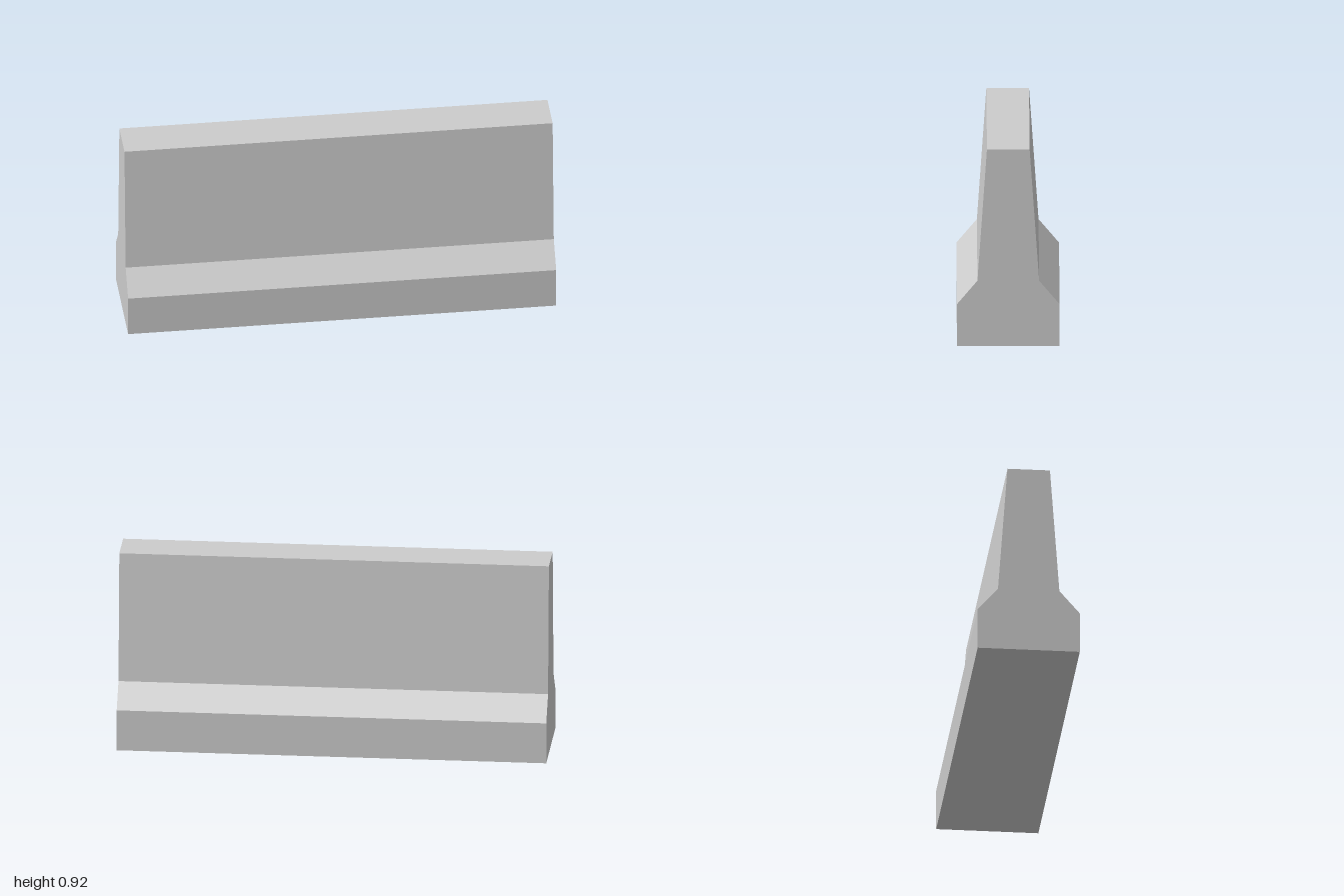
import * as THREE from 'three';

export function createModel() {
  const group = new THREE.Group();
  group.name = 'roadBarrier';

  const concrete = new THREE.MeshStandardMaterial({ color: 0xcccccc, flatShading: true });
  concrete.name = 'concrete grey';

  // Half profile (half depth, height), mirrored into a symmetric cross-section
  const half = [[0.238, 0], [0.238, 0.197], [0.143, 0.307], [0.099, 0.922]];
  const mirrored = half.map(([d, y]) => [-d, y]).reverse();
  const profile = new THREE.Shape([...half, ...mirrored].map(([d, y]) => new THREE.Vector2(d, y)));

  // Extrude along the barrier's length, centred on x
  const length = 2;
  const geometry = new THREE.ExtrudeGeometry(profile, { depth: length, bevelEnabled: false });
  geometry.translate(0, 0, -length / 2);
  geometry.rotateY(Math.PI / 2);

  const barrier = new THREE.Mesh(geometry, concrete);
  barrier.name = 'barrierBody';
  group.add(barrier);
  return group;
}
